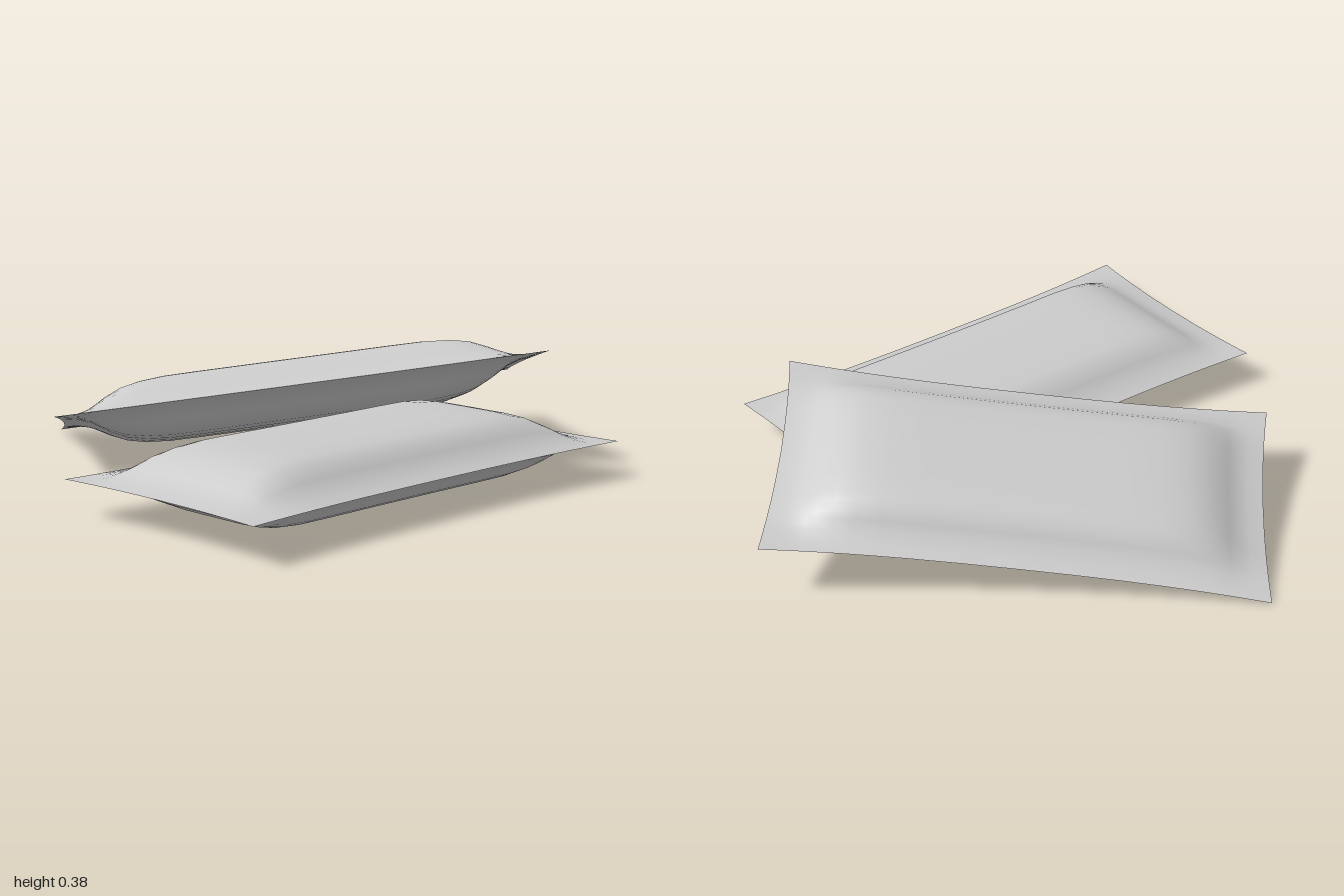
import * as THREE from 'three';
import { mergeGeometries } from 'three/addons/utils/BufferGeometryUtils.js';

const HALF_W = 0.365, HALF_L = 0.765, PUFF = 0.103;

// [distance in from the seam, fraction of full thickness]
const acrossProfile = [[0, 0], [0.03, 0.1], [0.07, 0.28], [0.095, 0.5], [0.12, 0.7],
  [0.15, 0.84], [0.18, 0.93], [0.25, 0.99], [0.365, 1]];
const alongProfile = [[0, 0], [0.05, 0.07], [0.09, 0.2], [0.12, 0.38], [0.15, 0.56],
  [0.2, 0.79], [0.26, 0.92], [0.34, 0.99], [0.45, 1], [0.6, 1], [0.765, 1]];

// Mirror a profile into stops running from one seam to the other
function mirrorStops(profile, half) {
  const near = profile.map(([d, h]) => [d - half, h]);
  return near.concat(near.slice(0, -1).reverse().map(([p, h]) => [-p, h]));
}

// One puffed sheet of the pouch; side = 1 for the top, -1 for the underside
function sheet(side) {
  const xs = mirrorStops(acrossProfile, HALF_W);
  const zs = mirrorStops(alongProfile, HALF_L);
  const geo = new THREE.PlaneGeometry(2, 2, xs.length - 1, zs.length - 1);
  const pos = geo.attributes.position;
  for (let i = 0; i < pos.count; i++) {
    const [x, hx] = xs[i % xs.length];
    const [z, hz] = zs[Math.floor(i / xs.length)];
    const s = x / HALF_W, t = z / HALF_L;
    // edges pull in between the four corners
    pos.setXYZ(i,
      x + s * 0.028 * Math.abs(t) ** 2.5,
      side * PUFF * hx * hz,
      side * (z + t * 0.02 * s * s));
  }
  geo.computeVertexNormals();
  return geo;
}

export function createModel() {
  const group = new THREE.Group();
  group.name = 'sachets';
  const material = new THREE.MeshStandardMaterial({ color: 0xcccccc });
  const pouch = mergeGeometries([sheet(1), sheet(-1)]);

  // Pouch lying flat
  const flat = new THREE.Mesh(pouch, material);
  flat.name = 'flatSachet';
  flat.position.set(0.495, 0.114, 0.215);
  group.add(flat);

  // Pouch leaning on the flat one
  const leaning = new THREE.Mesh(pouch, material);
  leaning.name = 'leaningSachet';
  const xAxis = new THREE.Vector3(0.57, 0.19, 0.48).normalize();
  const zAxis = new THREE.Vector3(-0.965, -0.18, 1.225).normalize();
  const yAxis = new THREE.Vector3().crossVectors(zAxis, xAxis).normalize();
  zAxis.crossVectors(xAxis, yAxis);
  leaning.quaternion.setFromRotationMatrix(new THREE.Matrix4().makeBasis(xAxis, yAxis, zAxis));
  leaning.position.set(-0.12, 0.192, -0.147);
  group.add(leaning);

  return group;
}
